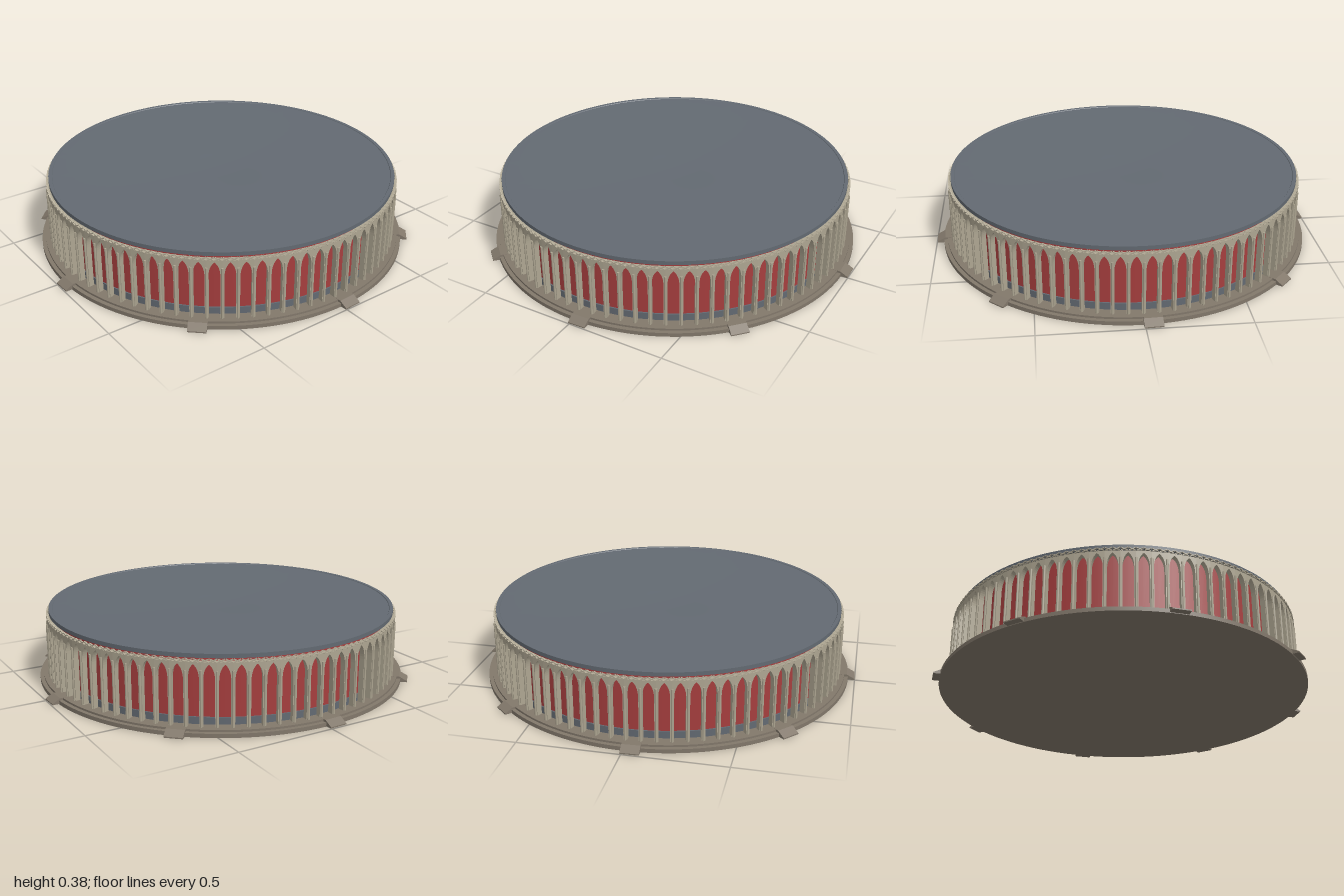
import * as THREE from 'three';
import { mergeGeometries, toCreasedNormals } from 'three/addons/utils/BufferGeometryUtils.js';

const BAYS = 80;
const STEP = (Math.PI * 2) / BAYS;

const mat = (name, color, side = THREE.FrontSide) => {
  const m = new THREE.MeshStandardMaterial({ color, side });
  m.name = name;
  return m;
};

export function createModel() {
  const stone = mat('pale stone', 0xaea692);
  const paving = mat('brown paving', 0x82786b);
  const red = mat('red wall', 0xa63e3e);
  const slate = mat('slate', 0x636a72);

  const model = new THREE.Group();
  model.name = 'roundArcadeHall';
  const add = (name, geometry, material) => {
    const mesh = new THREE.Mesh(geometry, material);
    mesh.name = name;
    model.add(mesh);
    return mesh;
  };
  const lathe = (points) =>
    toCreasedNormals(new THREE.LatheGeometry(points.map(([x, y]) => new THREE.Vector2(x, y)), 160), 0.4);
  // Copies a geometry around the vertical axis and merges the copies
  const ring = (geometry, count, offset) => {
    const copies = [];
    for (let i = 0; i < count; i++) {
      copies.push(geometry.clone().rotateY(offset + (i * Math.PI * 2) / count));
    }
    return mergeGeometries(copies);
  };

  // Stepped plinth
  add('plinth', lathe([[0, 0], [0.965, 0], [0.965, 0.02], [0.945, 0.02], [0.945, 0.03], [0, 0.03]]), paving);

  // Eight entrance ramps, each centred on an arch
  const wedge = new THREE.Shape([
    new THREE.Vector2(0.925, 0.003), new THREE.Vector2(0.999, 0.003),
    new THREE.Vector2(0.999, 0.009), new THREE.Vector2(0.958, 0.031), new THREE.Vector2(0.925, 0.031),
  ]);
  const ramp = new THREE.ExtrudeGeometry(wedge, { depth: 0.09, bevelEnabled: false });
  ramp.translate(0, 0, -0.045).rotateY(-Math.PI / 2);
  add('entranceRamps', ring(ramp, 8, STEP / 2), paving);

  // Inner drum: slate skirting and red wall
  add('skirting', new THREE.CylinderGeometry(0.882, 0.882, 0.036, 160, 1, true).translate(0, 0.047, 0), slate);
  add('skirtingTop', lathe([[0.882, 0.065], [0.87, 0.065]]), slate);
  add('innerWall', new THREE.CylinderGeometry(0.875, 0.875, 0.295, 160, 1, true).translate(0, 0.2085, 0), red);

  // One arcade bay: two half piers joined by a pointed arch
  const half = 0.915 * Math.tan(STEP / 2);
  const open = 0.027;
  const bay = new THREE.Shape();
  bay.moveTo(-half, 0.028);
  bay.lineTo(-open, 0.028);
  bay.lineTo(-open, 0.25);
  bay.quadraticCurveTo(-open, 0.305, 0, 0.328);
  bay.quadraticCurveTo(open, 0.305, open, 0.25);
  bay.lineTo(open, 0.028);
  bay.lineTo(half, 0.028);
  bay.lineTo(half, 0.338);
  bay.lineTo(-half, 0.338);
  const bayGeometry = new THREE.ExtrudeGeometry(bay, { depth: 0.028, bevelEnabled: false, curveSegments: 8 });
  bayGeometry.translate(0, 0, 0.887);
  add('arcade', ring(bayGeometry, BAYS, STEP / 2), stone);

  // Slim shaft on the face of every pier
  const shaft = new THREE.CylinderGeometry(0.006, 0.006, 0.27, 8).translate(0, 0.165, 0.917);
  add('pierShafts', ring(shaft, BAYS, 0), stone);

  // Crossed lattice parapet on top of the arcade
  const bars = [-1, 1].map((s) =>
    new THREE.BoxGeometry(0.036, 0.004, 0.008).rotateZ(s * 0.46).translate(0, 0.346, 0.915));
  add('parapetLattice', ring(mergeGeometries(bars), BAYS * 2, STEP / 4), stone);

  // Roof disc with a low rim and a very shallow central dish
  add('roof', lathe([
    [0, 0.355], [0.905, 0.355], [0.905, 0.375], [0.887, 0.375], [0.885, 0.372],
    [0.28, 0.37], [0.14, 0.365], [0, 0.363],
  ]), slate);

  return model;
}
